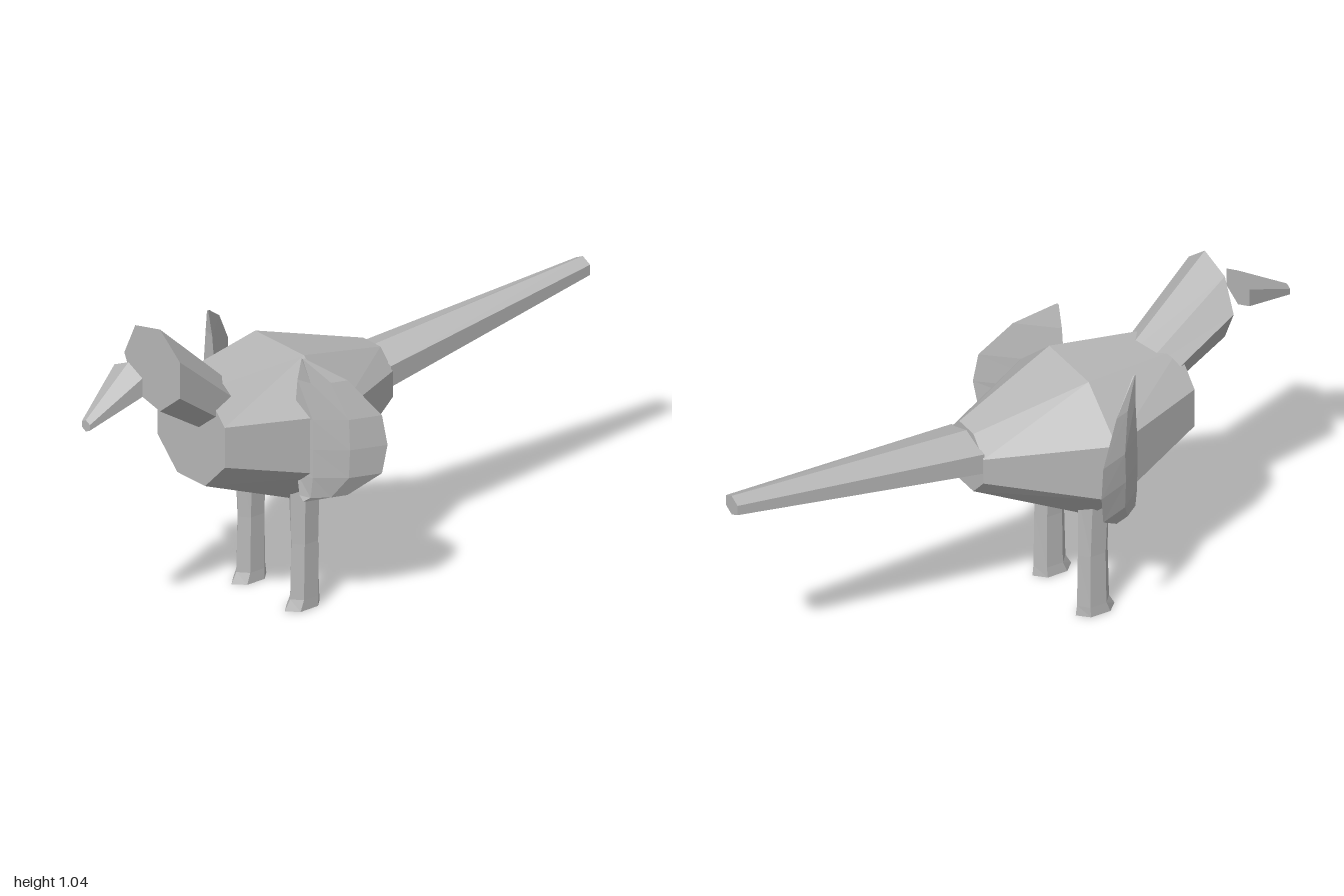
import * as THREE from 'three';

// Flat-shaded closed solid through matching rings of [x, y, z] points
function loft(rings) {
  const tris = [];
  const n = rings[0].length;
  for (let r = 0; r < rings.length - 1; r++) {
    const a = rings[r], b = rings[r + 1];
    for (let i = 0; i < n; i++) {
      const j = (i + 1) % n;
      tris.push([a[i], a[j], b[j]], [a[i], b[j], b[i]]);
    }
  }
  const first = rings[0], last = rings[rings.length - 1];
  for (let i = 1; i < n - 1; i++) {
    tris.push([first[0], first[i + 1], first[i]], [last[0], last[i], last[i + 1]]);
  }
  // Turn the faces outward, whichever way the rings run
  let volume = 0;
  for (const [a, b, c] of tris) {
    volume += new THREE.Vector3(...a).dot(new THREE.Vector3(...b).cross(new THREE.Vector3(...c)));
  }
  const points = tris.flatMap(t => (volume < 0 ? [t[0], t[2], t[1]] : t)).flat();
  const geometry = new THREE.BufferGeometry();
  geometry.setAttribute('position', new THREE.Float32BufferAttribute(points, 3));
  geometry.computeVertexNormals();
  return geometry;
}

// Upright regular ring at depth z
function ringZ(sides, start, cx, cy, z, rx, ry) {
  return Array.from({ length: sides }, (_, i) => {
    const t = start + (i / sides) * Math.PI * 2;
    return [cx + rx * Math.cos(t), cy + ry * Math.sin(t), z];
  });
}

// Level regular ring at height y
function ringY(sides, start, cx, y, cz, rx, rz) {
  return ringZ(sides, start, cx, cz, y, rx, rz).map(([x, z, h]) => [x, h, z]);
}

export function createModel() {
  const group = new THREE.Group();
  group.name = 'bird';
  const grey = new THREE.MeshStandardMaterial({ color: 0xb8b8b8, flatShading: true });
  grey.name = 'grey';
  const add = (name, rings) => {
    const mesh = new THREE.Mesh(loft(rings), grey);
    mesh.name = name;
    group.add(mesh);
  };

  // Body: eight-sided barrel, widest in the middle
  const k = 1 / Math.cos(Math.PI / 8);
  add('body', [
    [0.64, 0.55, 0.16, 0.162],
    [0.588, 0.2, 0.28, 0.243],
    [0.62, -0.165, 0.1, 0.105],
  ].map(([y, z, rx, ry]) => ringZ(8, Math.PI / 8, 0, y, z, rx * k, ry * k)));

  // Tail: long six-sided taper
  add('tail', [
    ringZ(6, Math.PI / 2, 0, 0.645, -0.16, 0.112, 0.07),
    ringZ(6, Math.PI / 2, 0, 0.731, -1, 0.04, 0.034),
  ]);

  // Head and neck: seven-sided, slightly off centre
  add('head', [
    ringZ(7, Math.PI, 0.008, 0.663, 0.4, 0.1, 0.097),
    ringZ(7, Math.PI, 0.013, 0.906, 0.71, 0.139, 0.141),
  ]);

  // Beak: floats in front of the head and droops to one side
  add('beak', [
    ringZ(6, Math.PI / 2, 0.014, 0.891, 0.81, 0.077, 0.062),
    ringZ(6, Math.PI / 2, 0.04, 0.805, 1, 0.022, 0.019),
  ]);

  // Wing sections: height, then [x, z] of inner edge, front ridge, outer face, rear edge
  const wing = [
    [0.887, [0.222, 0.298], [0.228, 0.298], [0.23, 0.293], [0.228, 0.29]],
    [0.81, [0.203, 0.298], [0.25, 0.285], [0.287, 0.235], [0.305, 0.185]],
    [0.69, [0.19, 0.298], [0.26, 0.285], [0.33, 0.2], [0.367, 0.1]],
    [0.59, [0.19, 0.298], [0.262, 0.285], [0.335, 0.2], [0.378, 0.087]],
    [0.495, [0.2, 0.298], [0.26, 0.285], [0.33, 0.2], [0.367, 0.1]],
    [0.425, [0.213, 0.298], [0.25, 0.285], [0.287, 0.235], [0.305, 0.185]],
    [0.409, [0.222, 0.298], [0.23, 0.298], [0.235, 0.29], [0.23, 0.285]],
  ];

  for (const [side, s] of [['left', 1], ['right', -1]]) {
    add(side + 'Wing', wing.map(([y, ...pts]) => pts.map(([x, z]) => [s * x, y, z])));

    // Leg: six-sided, flared into a small foot
    add(side + 'Leg', [
      [0, 0.127, 0.216, 0.039, 0.069],
      [0.035, 0.128, 0.208, 0.037, 0.057],
      [0.22, 0.128, 0.207, 0.037, 0.053],
      [0.44, 0.127, 0.21, 0.049, 0.055],
    ].map(([y, x, z, rx, rz]) => ringY(6, Math.PI / 2, s * x, y, z, rx, rz)));
  }
  return group;
}
